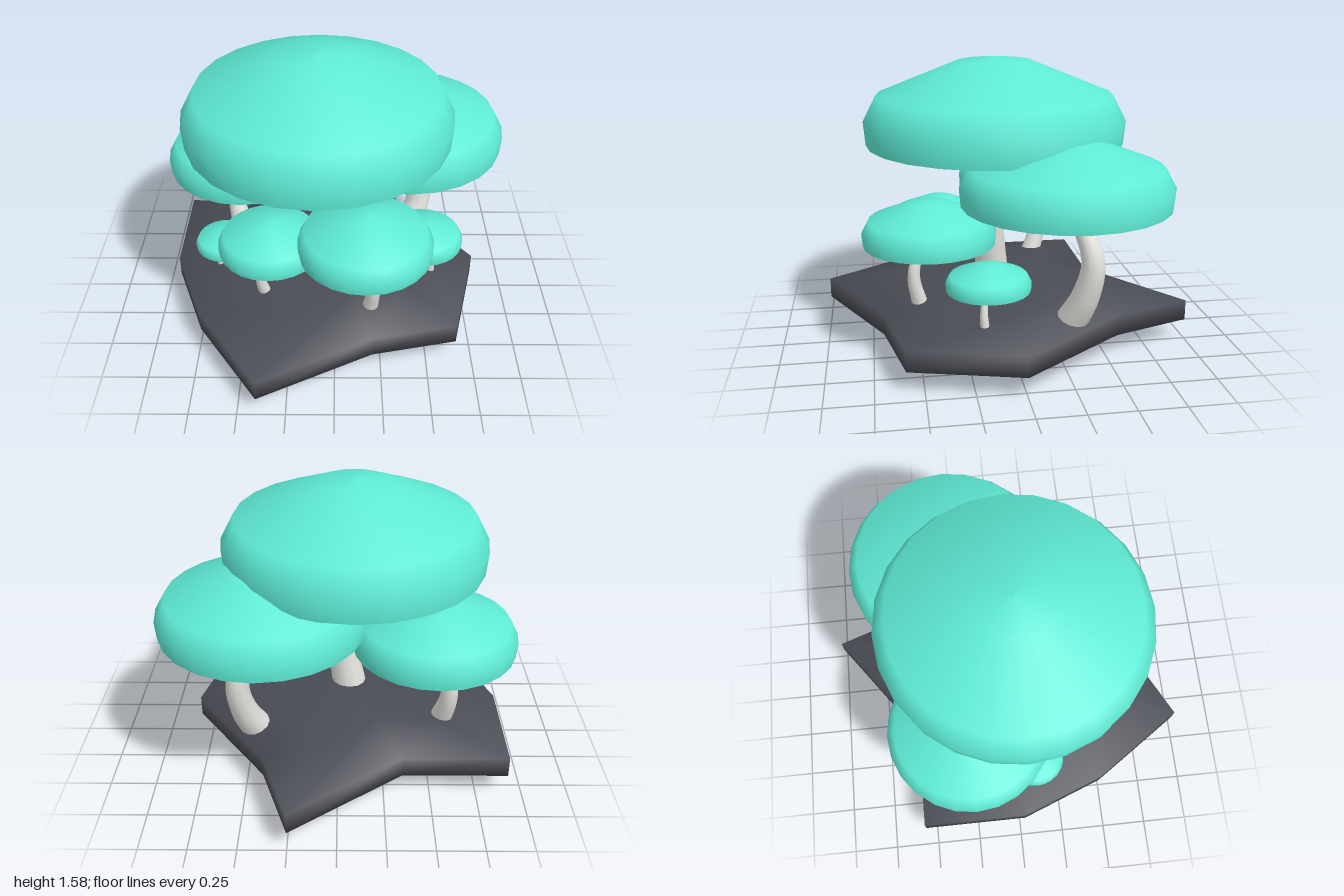
import * as THREE from 'three';

const CAP = new THREE.MeshStandardMaterial({ color: 0x5eead4 });
const GILL = new THREE.MeshStandardMaterial({ color: 0x5eead4, side: THREE.DoubleSide });
const STEM = new THREE.MeshStandardMaterial({ color: 0xe7e5e0 });
const ROCK = new THREE.MeshStandardMaterial({ color: 0x4a4c54 });

// cap: centre x, z, radius, bottom y, top y; stem: base radius and path points
const MUSHROOMS = [
  { cap: [-0.09, 0.04, 0.72, 1.11, 1.58], stemRadius: 0.1, path: [[-0.07, 0.28, 0.06], [-0.02, 0.6, 0.08], [0, 0.8, 0.09], [-0.06, 1.11, 0.07]] },
  { cap: [0.395, -0.265, 0.555, 0.875, 1.22], stemRadius: 0.085, path: [[0.45, 0.24, -0.29], [0.51, 0.4, -0.35], [0.53, 0.6, -0.38], [0.43, 0.875, -0.3]] },
  { cap: [-0.515, -0.24, 0.44, 0.74, 1.025], stemRadius: 0.062, path: [[-0.57, 0.26, -0.25], [-0.605, 0.45, -0.31], [-0.6, 0.58, -0.31], [-0.545, 0.74, -0.26]] },
  { cap: [0.16, 0.43, 0.36, 0.62, 0.855], stemRadius: 0.042, path: [[0.195, 0.3, 0.495], [0.208, 0.42, 0.52], [0.207, 0.5, 0.515], [0.175, 0.62, 0.47]] },
  { cap: [-0.345, 0.34, 0.28, 0.565, 0.745], stemRadius: 0.034, path: [[-0.385, 0.3, 0.39], [-0.4, 0.38, 0.405], [-0.398, 0.45, 0.405], [-0.37, 0.565, 0.375]] },
  { cap: [0.495, 0.155, 0.22, 0.465, 0.605], stemRadius: 0.025, path: [[0.545, 0.26, 0.18], [0.542, 0.34, 0.185], [0.53, 0.41, 0.18], [0.51, 0.465, 0.17]] },
  { cap: [-0.625, 0.11, 0.165, 0.405, 0.51], stemRadius: 0.02, path: [[-0.655, 0.26, 0.12], [-0.665, 0.31, 0.13], [-0.66, 0.35, 0.13], [-0.64, 0.405, 0.12]] },
];

const lathe = (pts) => new THREE.LatheGeometry(pts.map(([x, y]) => new THREE.Vector2(x, y)), 24);

// Unit-radius cap with a hollow underside
const capOuter = lathe([[0.985, 0], [1, 0.18], [0.9, 0.37], [0.28, 0.62], [0, 0.65]]);
const capInner = lathe([[0, 0.61], [0.28, 0.58], [0.87, 0.345], [0.96, 0.18], [0.985, 0]]);

// Thin radial blades under the cap
function gillGeometry(count = 28) {
  const pos = [];
  for (let i = 0; i < count; i++) {
    const a = (i / count) * Math.PI * 2;
    for (const [r, y] of [[0.03, 0.61], [0.86, 0.35], [0.4, 0.45]]) {
      pos.push(r * Math.cos(a), y, r * Math.sin(a));
    }
  }
  const g = new THREE.BufferGeometry();
  g.setAttribute('position', new THREE.Float32BufferAttribute(pos, 3));
  g.computeVertexNormals();
  return g;
}
const gills = gillGeometry();

// Curved stem, flared at the foot and rounded at the tip
function stemGeometry(points, radius) {
  const curve = new THREE.CatmullRomCurve3(points.map((p) => new THREE.Vector3(...p)));
  const rings = 24, sides = 12;
  const g = new THREE.TubeGeometry(curve, rings, radius, sides);
  const p = g.attributes.position, v = new THREE.Vector3();
  for (let i = 0; i <= rings; i++) {
    const t = i / rings, c = curve.getPointAt(t);
    const tip = t > 0.9 ? Math.sqrt(Math.max(0, 1 - ((t - 0.9) / 0.1) ** 2)) : 1;
    const s = (0.52 + 0.48 * (1 - t) ** 1.5) * tip;
    for (let j = 0; j <= sides; j++) {
      const k = i * (sides + 1) + j;
      v.fromBufferAttribute(p, k).sub(c).multiplyScalar(s).add(c);
      p.setXYZ(k, v.x, v.y, v.z);
    }
  }
  return g;
}

function buildMushroom({ cap, stemRadius, path }) {
  const [x, z, radius, y0, y1] = cap;
  const group = new THREE.Group();
  group.name = 'mushroom';
  const head = new THREE.Group();
  head.name = 'cap';
  for (const [name, geo, mat] of [['capTop', capOuter, CAP], ['capUnderside', capInner, CAP], ['gills', gills, GILL]]) {
    const m = new THREE.Mesh(geo, mat);
    m.name = name;
    head.add(m);
  }
  head.position.set(x, y0, z);
  head.scale.set(radius, (y1 - y0) / 0.65, radius);
  const tip = [x, y0 + (y1 - y0) * 0.6, z];
  const stem = new THREE.Mesh(stemGeometry([...path, tip], stemRadius), STEM);
  stem.name = 'stem';
  group.add(head, stem);
  return group;
}

// Irregular rock slab: the same outline stacked as four rings between two poles
function rockGeometry() {
  const outline = [[-0.92, -0.56], [-0.92, 0.03], [-0.74, 0.5], [-0.4, 1], [0.2, 0.69],
    [0.66, 0.59], [0.81, 0], [0.4, -0.56], [0.25, -1], [-0.35, -0.56]];
  const rings = [[0.6, 0.02], [1, 0.115], [1, 0.23], [0.6, 0.315]];
  const n = outline.length, pos = [], idx = [];
  for (const [s, y] of rings) for (const [x, z] of outline) pos.push(x * s, y, z * s);
  const bottom = rings.length * n, top = bottom + 1;
  pos.push(0, 0, 0, 0, 0.335, 0);
  for (let j = 0; j < n; j++) {
    const k = (j + 1) % n;
    for (let i = 0; i < rings.length - 1; i++) {
      const a = i * n + j, b = i * n + k;
      idx.push(a, b, b + n, a, b + n, a + n);
    }
    idx.push(bottom, k, j, top, 3 * n + j, 3 * n + k);
  }
  const g = new THREE.BufferGeometry();
  g.setAttribute('position', new THREE.Float32BufferAttribute(pos, 3));
  g.setIndex(idx);
  g.computeVertexNormals();
  return g;
}

export function createModel() {
  const model = new THREE.Group();
  model.name = 'mushroomCluster';
  const rock = new THREE.Mesh(rockGeometry(), ROCK);
  rock.name = 'rock';
  model.add(rock, ...MUSHROOMS.map(buildMushroom));
  return model;
}
